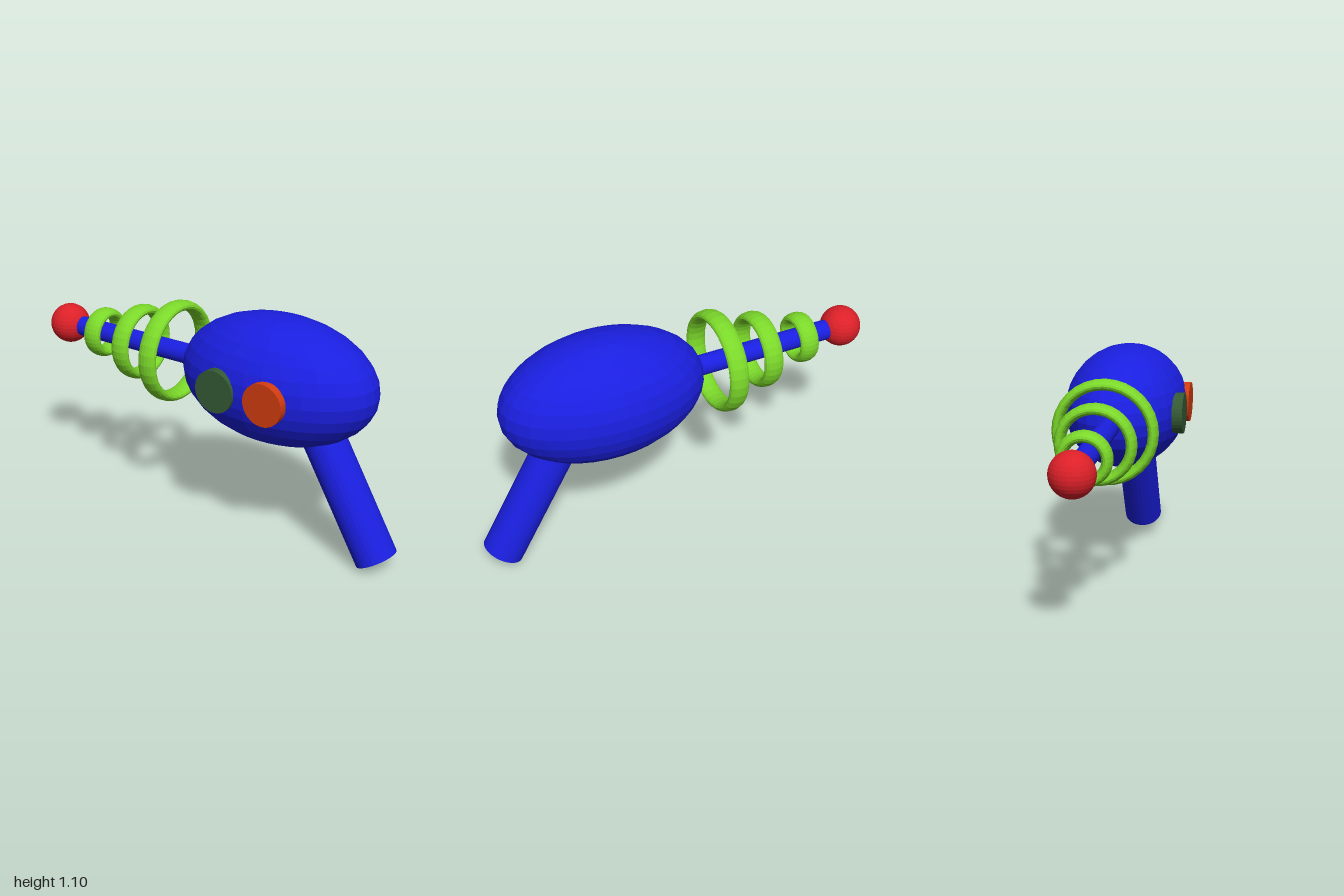
import * as THREE from 'three';

const AXIS_Y = 0.8;   // height of the barrel axis
const AXIS_Z = -0.004;

const paint = (color) => new THREE.MeshStandardMaterial({ color, flatShading: true });

export function createModel() {
  const model = new THREE.Group();
  const blue = paint(0x1a1fe0);
  const red = paint(0xdc2028);
  const lime = paint(0x7bd82a);

  const add = (name, geometry, material, x, y = AXIS_Y, z = AXIS_Z) => {
    const mesh = new THREE.Mesh(geometry, material);
    mesh.name = name;
    mesh.position.set(x, y, z);
    model.add(mesh);
    return mesh;
  };

  // Egg-shaped body
  add('body', new THREE.SphereGeometry(1, 32, 16), blue, 0.365).scale.set(0.493, 0.298, 0.298);

  // Thin barrel with a ball at the muzzle
  add('barrel', new THREE.CylinderGeometry(0.049, 0.049, 1, 32), blue, -0.4).rotation.z = Math.PI / 2;
  add('muzzleBall', new THREE.SphereGeometry(0.099, 32, 16), red, -0.901);

  // Rings floating around the barrel, growing towards the body
  const tube = 0.025;
  [[-0.668, 0.123], [-0.436, 0.185], [-0.219, 0.247]].forEach(([x, outer], i) => {
    const ring = add(`ring${i + 1}`, new THREE.TorusGeometry(outer - tube, tube, 16, 32), lime, x);
    ring.rotation.y = Math.PI / 2;
    ring.scale.z = 1.94;
  });

  // Slanted grip, running up into the body
  const tilt = Math.PI / 6;
  const gripLength = 0.75;
  const half = gripLength / 2;
  add('grip', new THREE.CylinderGeometry(0.099, 0.099, gripLength, 32), blue,
    0.912 - half * Math.sin(tilt), 0.05 + half * Math.cos(tilt)).rotation.z = tilt;

  // Two round buttons on the front side
  [['greenButton', 0.222, 0x355a35], ['orangeButton', 0.475, 0xd23c10]].forEach(([name, x, color]) => {
    add(name, new THREE.CylinderGeometry(0.099, 0.099, 0.1, 32), paint(color), x, AXIS_Y, 0.253)
      .rotation.x = Math.PI / 2;
  });

  return model;
}
